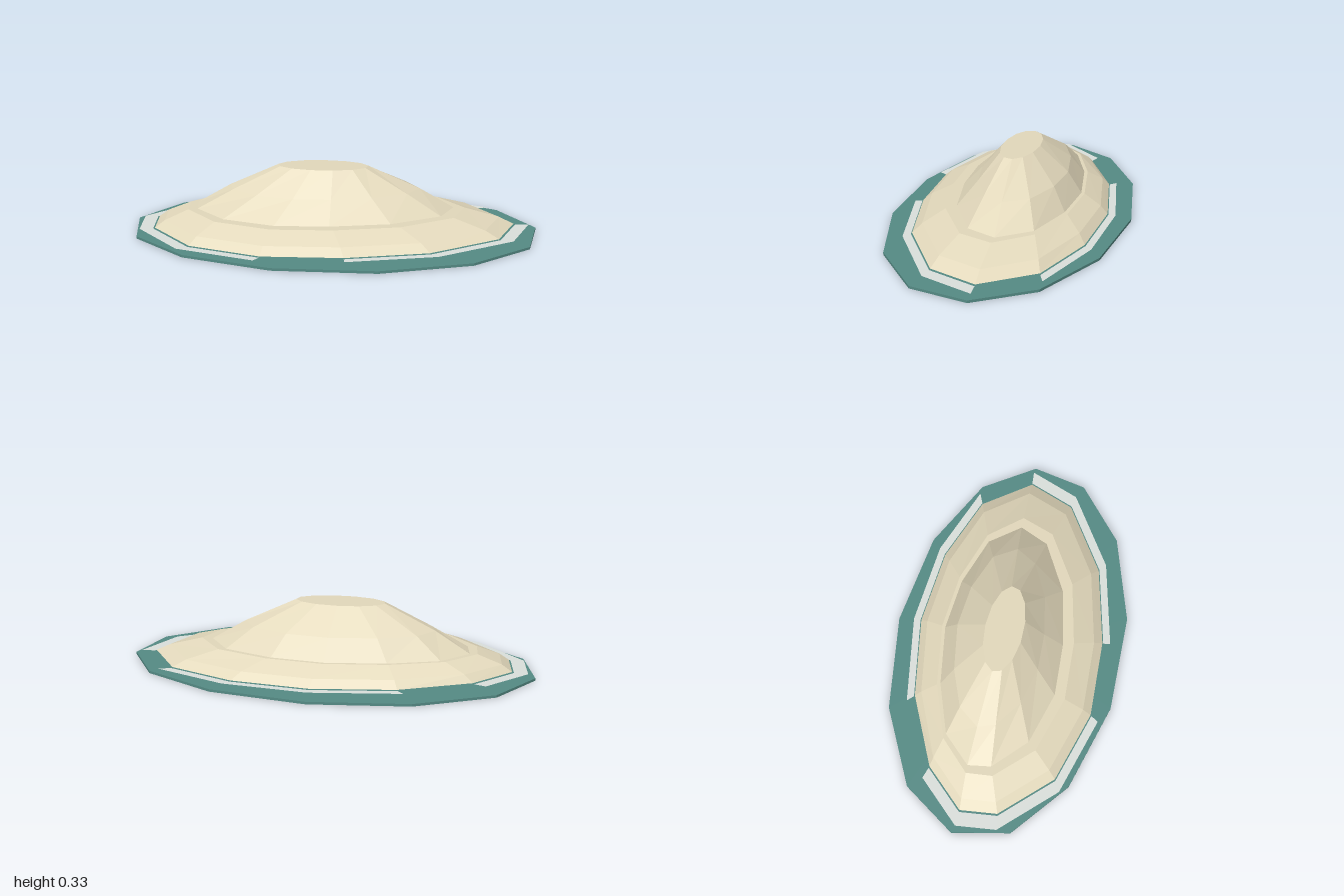
import * as THREE from 'three';

const SIDES = 13;
const mat = (name, color, extra = {}) => {
  const m = new THREE.MeshStandardMaterial({ color, flatShading: true, ...extra });
  m.name = name;
  return m;
};

// Shoreline, foot of the hill and summit outlines as [x, z], clockwise from the back
const shore = [
  [0.01, -0.46], [0.39, -0.425], [0.72, -0.3], [0.89, -0.065], [0.8, 0.165], [0.47, 0.375], [0.08, 0.465],
  [-0.3, 0.475], [-0.65, 0.365], [-0.87, 0.13], [-0.89, -0.05], [-0.715, -0.24], [-0.385, -0.395],
];
const hillFoot = [
  [-0.03, -0.32], [0.23, -0.295], [0.475, -0.21], [0.59, -0.06], [0.525, 0.085], [0.285, 0.217], [0, 0.273],
  [-0.26, 0.283], [-0.515, 0.207], [-0.67, 0.057], [-0.687, -0.055], [-0.56, -0.19], [-0.32, -0.275],
];
const ellipse = (cx, cz, rx, rz) => Array.from({ length: SIDES }, (_, k) => {
  const a = (k / SIDES) * Math.PI * 2;
  return [cx + rx * Math.sin(a), cz - rz * Math.cos(a)];
});
const summit = ellipse(-0.052, -0.012, 0.222, 0.093);

// Blend two outlines; t may depend on the point
const blend = (a, b, t) => a.map(([x, z], k) => {
  const f = t(z);
  return [x + (b[k][0] - x) * f, z + (b[k][1] - z) * f];
});

function triangles(points) {
  const g = new THREE.BufferGeometry();
  g.setAttribute('position', new THREE.Float32BufferAttribute(points.flat(), 3));
  g.computeVertexNormals();
  return g;
}

// Closed solid through stacked outlines, each { y, ring }
function stack(levels) {
  const p = [];
  const at = ({ y, ring }, k) => [ring[k % SIDES][0], y, ring[k % SIDES][1]];
  const centre = ({ y, ring }) => [
    ring.reduce((s, v) => s + v[0], 0) / SIDES, y, ring.reduce((s, v) => s + v[1], 0) / SIDES,
  ];
  const bottom = levels[0], top = levels[levels.length - 1];
  for (let k = 0; k < SIDES; k++) {
    for (let i = 0; i + 1 < levels.length; i++) {
      const a = at(levels[i], k + 1), b = at(levels[i], k);
      const c = at(levels[i + 1], k), d = at(levels[i + 1], k + 1);
      p.push(a, b, c, a, c, d);
    }
    p.push(centre(top), at(top, k + 1), at(top, k));
    p.push(centre(bottom), at(bottom, k), at(bottom, k + 1));
  }
  return triangles(p);
}

// Flat strip following the shoreline from one corner to another
function foamStrip(first, last) {
  const p = [], y = 0.026;
  const at = (k, s) => [shore[k % SIDES][0] * s, y, shore[k % SIDES][1] * s];
  for (let k = first; k < last; k++) {
    const a = at(k, 1.01), b = at(k, 1.085), c = at(k + 1, 1.085), d = at(k + 1, 1.01);
    p.push(a, d, c, a, c, b);
  }
  return triangles(p);
}

export function createModel() {
  const group = new THREE.Group();
  group.name = 'island';
  const sand = mat('sand', 0xe3d9bc);
  const water = mat('water', 0x558b85);
  const foam = mat('foam', 0xdbe0dc, { side: THREE.DoubleSide });
  const add = (name, geometry, material) => {
    const mesh = new THREE.Mesh(geometry, material);
    mesh.name = name;
    group.add(mesh);
  };

  // Shallow water disc
  const sea = ellipse(0, 0.004, 1.007, 0.579);
  add('water', stack([{ y: 0, ring: sea }, { y: 0.012, ring: sea }]), water);

  // Low beach with a flat terrace
  const terrace = blend(hillFoot, shore, (z) => 0.2 + 0.25 * z);
  add('beach', stack([
    { y: 0.03, ring: shore },
    { y: 0.065, ring: blend(shore, terrace, () => 0.3) },
    { y: 0.11, ring: terrace },
  ]), sand);

  // Hill with a flat summit
  add('hill', stack([
    { y: 0.11, ring: hillFoot },
    { y: 0.21, ring: blend(hillFoot, summit, (z) => 0.42 + 0.3 * z) },
    { y: 0.326, ring: summit },
  ]), sand);

  // Broken foam line around the shore
  [[12, 15], [3, 6], [7, 11]].forEach(([a, b], i) => add('foamStrip' + (i + 1), foamStrip(a, b), foam));
  return group;
}
